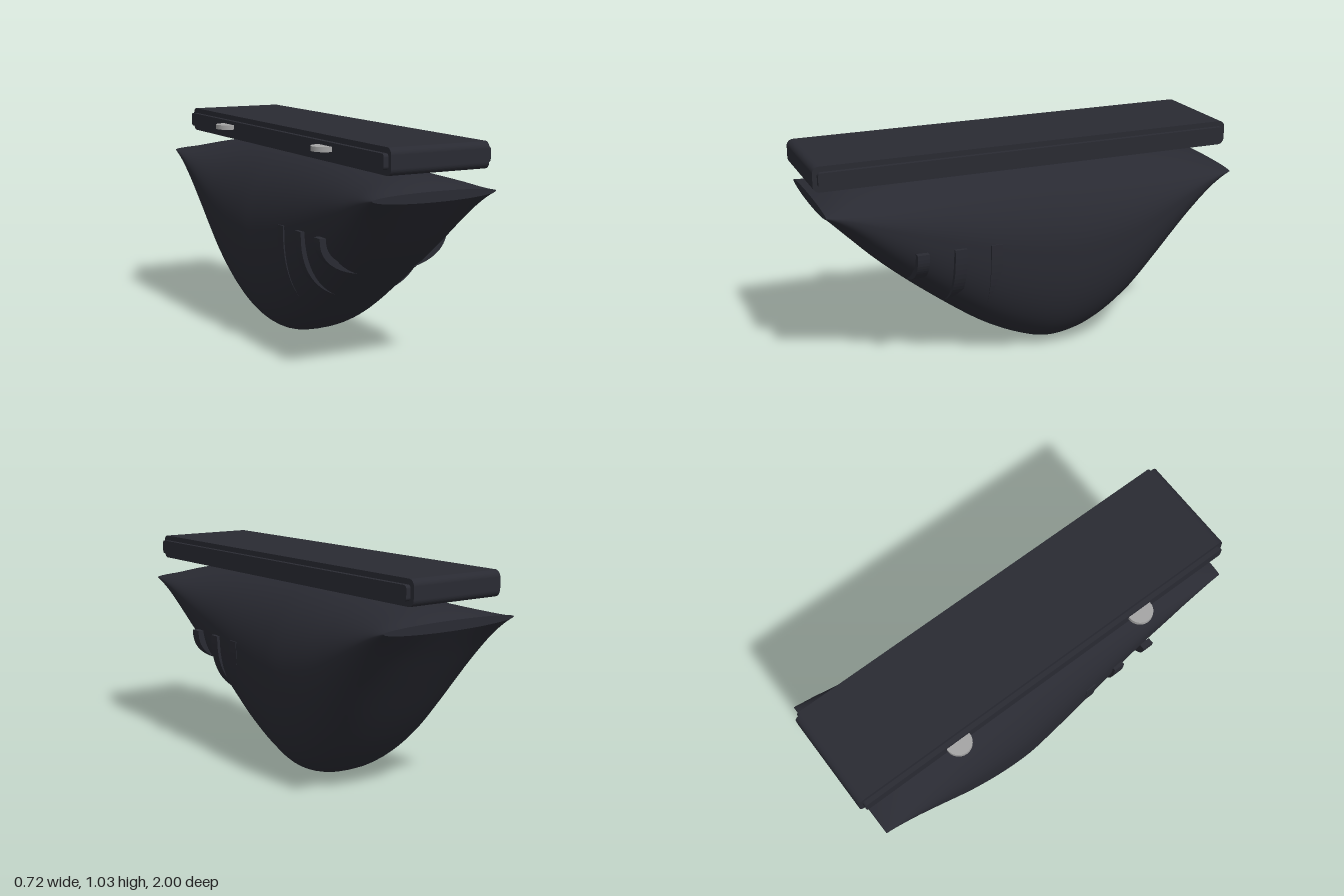
import * as THREE from 'three';

const dark = new THREE.MeshStandardMaterial({ color: 0x292a32 });
dark.name = 'charcoal';
const grey = new THREE.MeshStandardMaterial({ color: 0xa4a4a4 });
grey.name = 'light grey';

function mesh(name, geometry, material) {
  const m = new THREE.Mesh(geometry, material);
  m.name = name;
  return m;
}

// Hull stations: z, keel height, crown height, half width
const STATIONS = [
  [-0.965, 0.79, 0.835, 0.358], [-0.88, 0.678, 0.862, 0.358],
  [-0.77, 0.525, 0.88, 0.358], [-0.61, 0.305, 0.895, 0.358],
  [-0.48, 0.155, 0.903, 0.358], [-0.32, 0.044, 0.91, 0.357],
  [-0.16, 0.002, 0.913, 0.353], [-0.02, 0.026, 0.913, 0.34],
  [0.19, 0.125, 0.91, 0.322], [0.46, 0.318, 0.902, 0.303],
  [0.68, 0.5, 0.888, 0.3], [0.85, 0.668, 0.87, 0.3],
  [0.965, 0.79, 0.835, 0.3],
];
const keel = new THREE.SplineCurve(STATIONS.map(s => new THREE.Vector2(s[0], s[1])));
const crown = new THREE.SplineCurve(STATIONS.map(s => new THREE.Vector2(s[2], s[3])));
const SIDES = 64;
const FULLNESS = 0.82;

// Signed power, for superelliptic curves
const spow = (v, e) => Math.sign(v) * Math.pow(Math.abs(v), e);

// One closed cross-section of the hull
function section(t) {
  const { x: z, y: low } = keel.getPoint(t);
  const { x: high, y: width } = crown.getPoint(t);
  const mid = low + (high - low) * 0.58;
  const lower = FULLNESS + 0.18 * Math.pow(Math.abs(z) / 0.965, 4);
  const ring = [];
  for (let i = 0; i < SIDES; i++) {
    const a = (i / SIDES) * Math.PI * 2;
    const c = Math.cos(a), s = Math.sin(a);
    const e = s < 0 ? lower : 1;
    ring.push(width * spow(c, e), mid + (s < 0 ? mid - low : high - mid) * spow(s, e), z);
  }
  return ring;
}

function geometryFrom(positions, index) {
  const g = new THREE.BufferGeometry();
  g.setAttribute('position', new THREE.Float32BufferAttribute(positions, 3));
  g.setIndex(index);
  g.computeVertexNormals();
  return g;
}

function hullSkin() {
  const rows = 60, positions = [], index = [];
  for (let j = 0; j <= rows; j++) {
    positions.push(...section(j / rows));
    if (j === rows) break;
    for (let i = 0; i < SIDES; i++) {
      const a = j * SIDES + i, b = j * SIDES + (i + 1) % SIDES;
      index.push(a, b, b + SIDES, a, b + SIDES, a + SIDES);
    }
  }
  return geometryFrom(positions, index);
}

function hullCap(t) {
  const index = [];
  for (let i = 1; i < SIDES - 1; i++) {
    if (t) index.push(0, i, i + 1);
    else index.push(0, i + 1, i);
  }
  return geometryFrom(section(t), index);
}

// U-shaped band wrapping under the hull
function ribGeometry(rx, ry, depth) {
  const arc = (w, h) => Array.from({ length: 41 }, (_, i) => {
    const a = Math.PI * (1 + i / 40);
    return new THREE.Vector2(w * spow(Math.cos(a), FULLNESS), h * spow(Math.sin(a), FULLNESS));
  });
  const shape = new THREE.Shape([...arc(rx, ry), ...arc(rx - 0.03, ry - 0.03).reverse()]);
  return new THREE.ExtrudeGeometry(shape, { depth, bevelEnabled: false });
}

// Slab with rounded corners in side profile, extruded across x
function slab(halfWidth, height, halfLength, r) {
  const h = height / 2, l = halfLength;
  const s = new THREE.Shape();
  s.absarc(l - r, h - r, r, 0, Math.PI / 2);
  s.absarc(-l + r, h - r, r, Math.PI / 2, Math.PI);
  s.absarc(-l + r, -h + r, r, Math.PI, Math.PI * 1.5);
  s.absarc(l - r, -h + r, r, Math.PI * 1.5, Math.PI * 2);
  const g = new THREE.ExtrudeGeometry(s, { depth: halfWidth * 2, bevelEnabled: false, curveSegments: 8 });
  return g.translate(0, 0, -halfWidth).rotateY(Math.PI / 2);
}

export function createModel() {
  const model = new THREE.Group();
  model.name = 'model';

  // Deep rounded hull
  const hull = new THREE.Group();
  hull.name = 'hull';
  hull.add(mesh('hullSkin', hullSkin(), dark));
  hull.add(mesh('hullBackEnd', hullCap(0), dark));
  hull.add(mesh('hullFrontEnd', hullCap(1), dark));
  model.add(hull);

  // Raised grip ribs: back z, half width, drop
  for (const [z, rx, ry] of [[0.52, 0.324, 0.18], [0.345, 0.324, 0.32], [0.175, 0.326, 0.442]]) {
    const rib = mesh('gripRib', ribGeometry(rx, ry, 0.055), dark);
    rib.position.set(0, 0.6, z);
    model.add(rib);
  }

  // Long top bar with a slightly wider core
  const bar = mesh('topBar', slab(0.235, 0.114, 1, 0.03), dark);
  bar.position.y = 0.971;
  const core = mesh('barCore', slab(0.257, 0.066, 0.98, 0.015), dark);
  core.position.y = 0.971;
  model.add(bar, core);

  // Half-disc buttons on the right side
  for (const z of [-0.5, 0.5]) {
    const button = mesh('sideButton', new THREE.CylinderGeometry(0.06, 0.06, 0.022, 32), grey);
    button.position.set(-0.261, 0.976, z);
    model.add(button);
  }
  return model;
}
